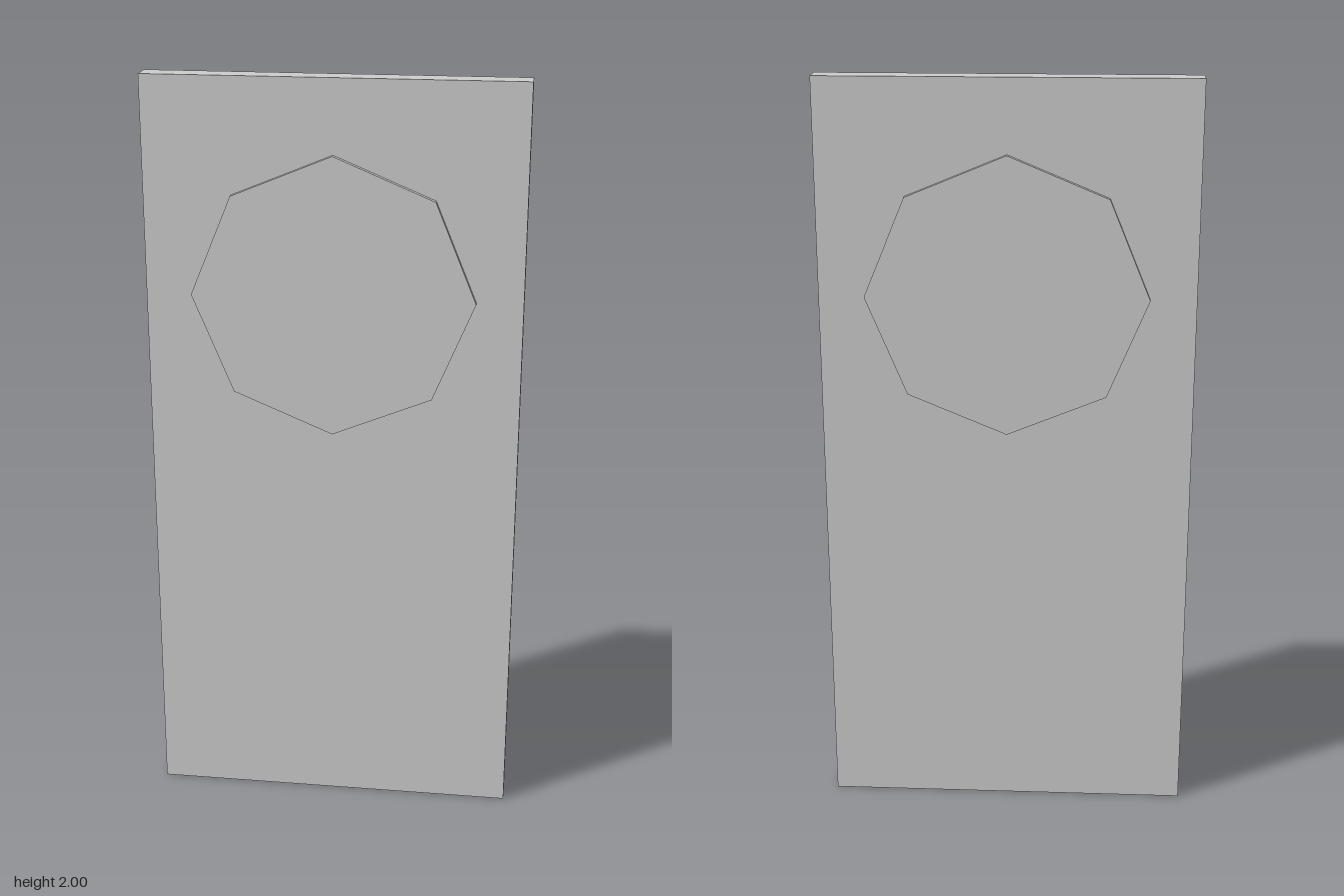
import * as THREE from 'three';

export function createModel() {
  const model = new THREE.Group();
  const material = new THREE.MeshStandardMaterial({ color: 0xcccccc, flatShading: true });

  const add = (name, geometry, y) => {
    const mesh = new THREE.Mesh(geometry, material);
    mesh.name = name;
    mesh.position.y = y;
    model.add(mesh);
  };

  // Upright rectangular slab
  add('panel', new THREE.BoxGeometry(0.968, 2, 0.065), 1);

  // Octagonal disc passing through the slab, slightly proud on both faces
  const disc = new THREE.CylinderGeometry(0.365, 0.365, 0.095, 8).rotateX(Math.PI / 2);
  add('octagonalDisc', disc, 1.446);

  return model;
}
